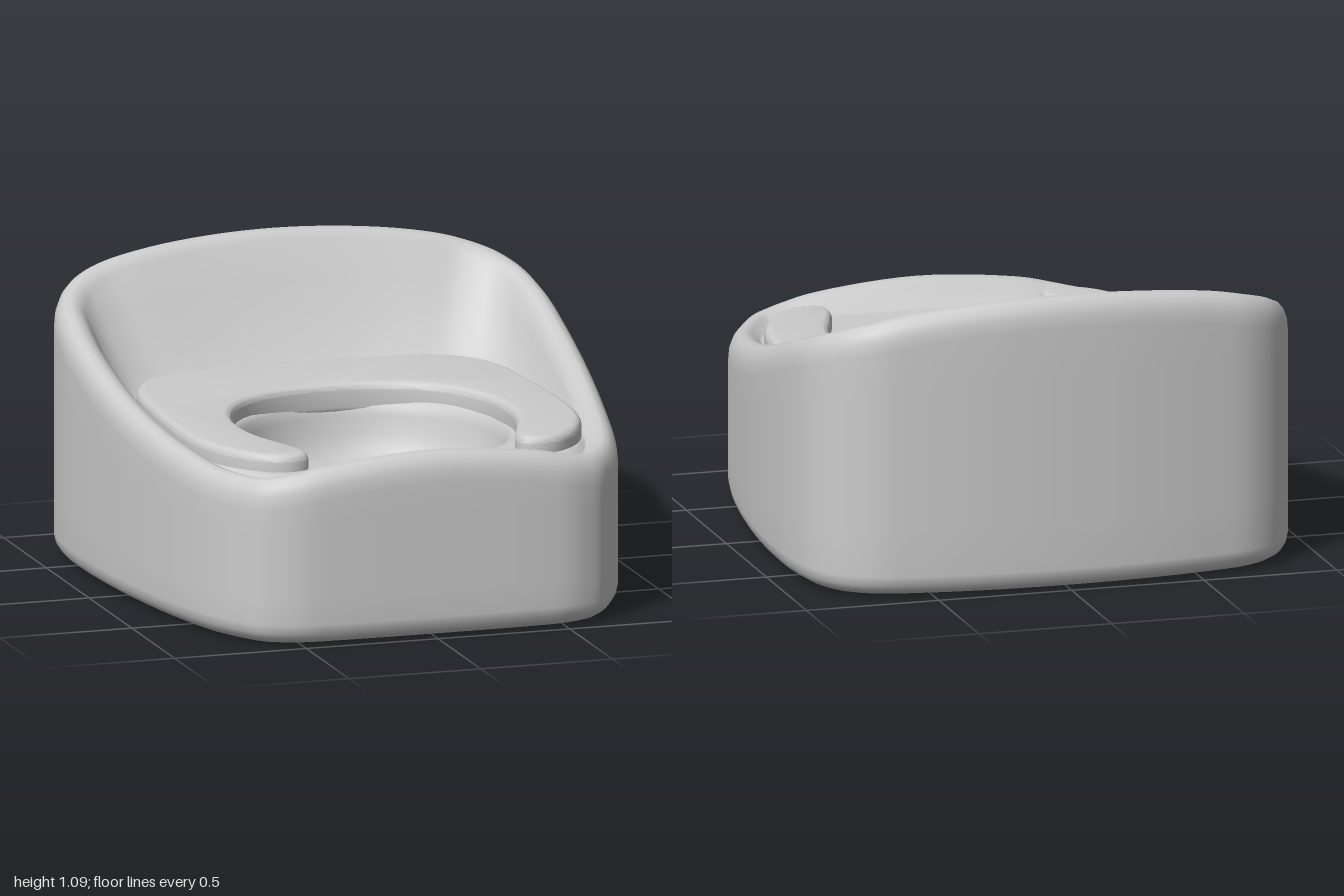
import * as THREE from 'three';
import { toCreasedNormals } from 'three/addons/utils/BufferGeometryUtils.js';

const material = new THREE.MeshStandardMaterial({ color: 0xcccccc });

// Half of the rim, back to front: x, z and rim height
const RIM = [
  [0, -1, 1.09], [0.28, -0.99, 1.08], [0.53, -0.96, 1.055], [0.71, -0.92, 1.02],
  [0.83, -0.84, 0.985], [0.9, -0.72, 0.945], [0.93, -0.55, 0.895], [0.935, -0.35, 0.83],
  [0.92, -0.05, 0.745], [0.88, 0.27, 0.675], [0.83, 0.53, 0.635], [0.78, 0.7, 0.614],
  [0.71, 0.84, 0.61], [0.65, 0.92, 0.613], [0.58, 0.96, 0.623], [0.5, 0.985, 0.637],
  [0.38, 0.995, 0.66], [0, 1, 0.69],
];

// Half of the horseshoe seat: outer edge from the back, round the tip, inner edge to the back
const SEAT = [
  [0, -0.66], [0.3, -0.65], [0.52, -0.61], [0.64, -0.51], [0.695, -0.38], [0.72, -0.15],
  [0.735, 0.1], [0.73, 0.38], [0.69, 0.55], [0.62, 0.68], [0.54, 0.75], [0.47, 0.765],
  [0.41, 0.74], [0.4, 0.68], [0.43, 0.58], [0.485, 0.42], [0.505, 0.24], [0.475, 0.05],
  [0.37, -0.13], [0.2, -0.23], [0, -0.26],
];

const FLOOR = 0.6;
const BOWL_Z = 0.225;

// Body: one skin from under the base, over the rim and down into the bowl
function bodyGeometry() {
  const mirrored = RIM.slice(1, -1).reverse().map(([x, z, h]) => [-x, z, h]);
  const curve = new THREE.CatmullRomCurve3(
    [...RIM, ...mirrored].map(([x, z, h]) => new THREE.Vector3(x, h, z)), true);
  const N = 204;
  // Inset and height near the base, then inset and drop below the rim
  const base = [[0.09, 0], [0.05, 0.008], [0.022, 0.025], [0.007, 0.048], [0, 0.08]];
  const lip = [[0, 0.11], [0.004, 0.065], [0.016, 0.032], [0.036, 0.008], [0.06, 0],
    [0.088, 0.008], [0.115, 0.035]];
  // Inner wall: blend towards the seat floor, across and down
  const wall = [[0.25, 0.3], [0.5, 0.58], [0.75, 0.82], [0.92, 0.96], [1.05, 1]];
  // Bowl: radius and height
  const bowl = [[0.535, 0.6], [0.51, 0.592], [0.493, 0.575], [0.483, 0.54], [0.47, 0.48],
    [0.445, 0.42], [0.405, 0.375], [0.35, 0.35], [0.29, 0.34], [0, 0.34]];

  const columns = [];
  for (let j = 0; j < N; j++) {
    const p = curve.getPoint(j / N), t = curve.getTangent(j / N);
    const len = Math.hypot(t.x, t.z);
    const nx = -t.z / len, nz = t.x / len;
    const inset = (d, y) => [p.x + nx * d, y, p.z + nz * d];
    const fx = p.x * THREE.MathUtils.mapLinear(p.z, -1, 1, 0.765, 0.87);
    const fz = 0.1 + 0.7 * p.z;
    const edge = inset(0.115, p.y - 0.035);
    const angle = Math.atan2(fx, fz - BOWL_Z);
    columns.push([
      [0, 0, 0],
      ...base.map(([d, y]) => inset(d, y)),
      ...[0.2, 0.4, 0.6, 0.8].map((k) => inset(0, THREE.MathUtils.lerp(0.08, p.y - 0.11, k))),
      ...lip.map(([d, drop]) => inset(d, p.y - drop)),
      ...wall.map(([a, b]) => [
        THREE.MathUtils.lerp(edge[0], fx, a),
        THREE.MathUtils.lerp(edge[1], FLOOR, b),
        THREE.MathUtils.lerp(edge[2], fz, a)]),
      ...bowl.map(([r, y]) => [Math.sin(angle) * r, y, BOWL_Z + Math.cos(angle) * r]),
    ]);
  }

  const M = columns[0].length, index = [];
  for (let j = 0; j < N; j++) {
    for (let i = 0; i < M - 1; i++) {
      const a = j * M + i, b = ((j + 1) % N) * M + i;
      index.push(a, a + 1, b, b, a + 1, b + 1);
    }
  }
  const geometry = new THREE.BufferGeometry();
  geometry.setAttribute('position', new THREE.Float32BufferAttribute(columns.flat(2), 3));
  geometry.setIndex(index);
  geometry.computeVertexNormals();
  return geometry;
}

// Seat: horseshoe slab with a rounded edge
function seatGeometry() {
  const mirrored = SEAT.slice(1, -1).reverse().map(([x, z]) => [-x, z]);
  const outline = new THREE.CatmullRomCurve3(
    [...SEAT, ...mirrored].map(([x, z]) => new THREE.Vector3(x, -z, 0)), true);
  const points = outline.getPoints(160).slice(0, -1).map((p) => new THREE.Vector2(p.x, p.y));
  const geometry = new THREE.ExtrudeGeometry(new THREE.Shape(points), {
    depth: 0.06, bevelEnabled: true, bevelSize: 0.03, bevelThickness: 0.03,
    bevelOffset: -0.03, bevelSegments: 6,
  });
  geometry.rotateX(-Math.PI / 2);
  geometry.translate(0, 0.573, 0);
  return toCreasedNormals(geometry, 0.7);
}

export function createModel() {
  const group = new THREE.Group();
  group.name = 'pottySeat';
  const parts = { body: bodyGeometry(), seat: seatGeometry() };
  for (const [name, geometry] of Object.entries(parts)) {
    const mesh = new THREE.Mesh(geometry, material);
    mesh.name = name;
    group.add(mesh);
  }
  return group;
}
